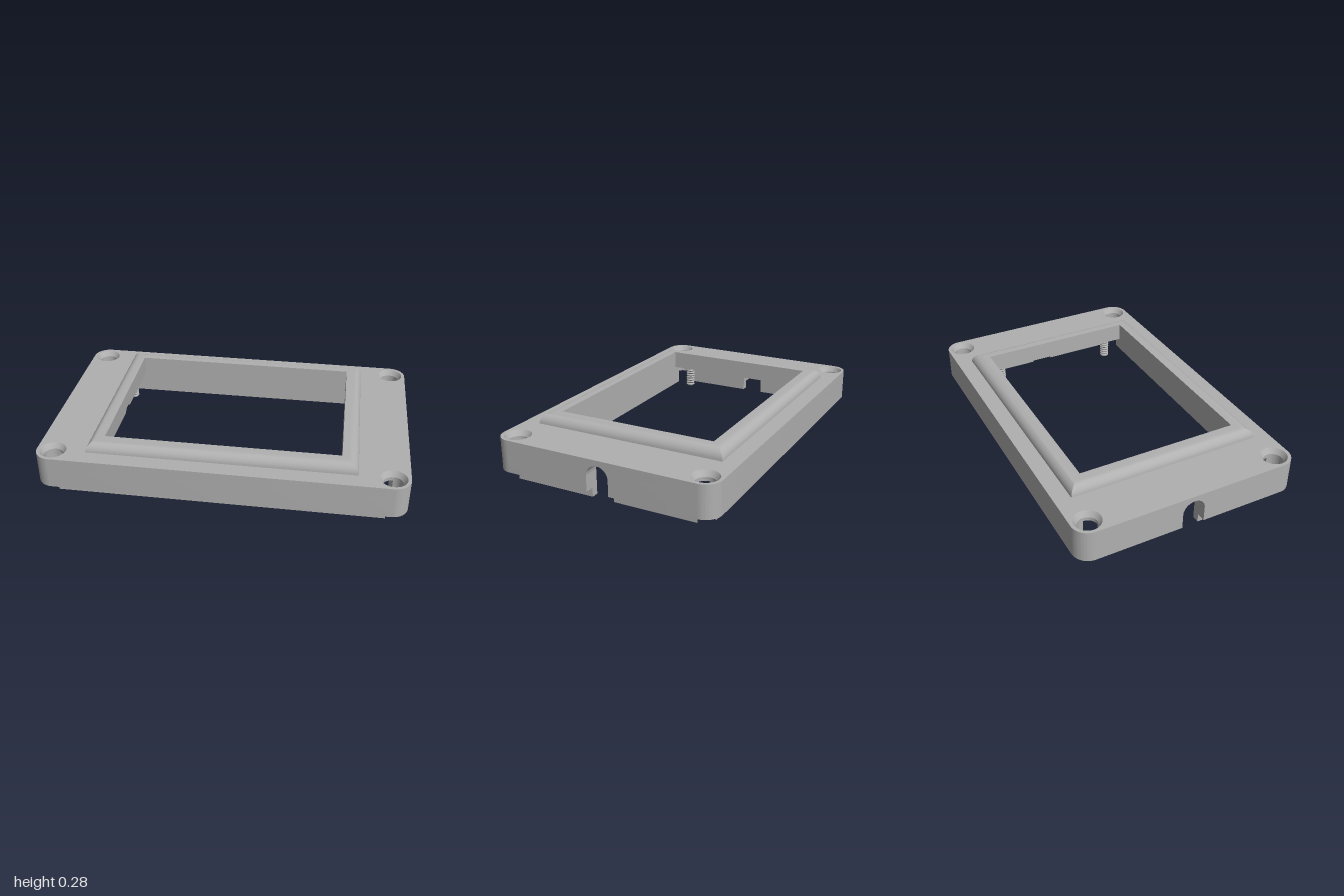
import * as THREE from 'three';
import { toCreasedNormals } from 'three/addons/utils/BufferGeometryUtils.js';

const PI = Math.PI;
const OUT = { x: 1, z: 0.635, r: 0.09 };      // outer footprint
const WIN = { x: 0.64, z: 0.455 };            // window opening
const CAV = { x: 0.91, z: 0.545 };            // cavity, also the screw centres
const LIP = { x: 0.95, z: 0.588 };            // outside of the bottom lip
const HOLE = 0.053, SINK = 0.072;             // screw hole and countersink radii
const SLOT = { r: 0.063, y: 0.137 };          // cable slot
const Y = { lip: 0.05, ceiling: 0.18, cover: 0.2, top: 0.23, bezel: 0.285 };

export function createModel() {
  const group = new THREE.Group();
  const grey = new THREE.MeshStandardMaterial({ color: 0xb0b0b0 });
  grey.name = 'grey plastic';

  const add = (name, geometry, turn = 0) => {
    const mesh = new THREE.Mesh(geometry, grey);
    mesh.name = name;
    mesh.rotation.y = turn;
    group.add(mesh);
    return mesh;
  };
  // the same part on both ends, turned half way round
  const addPair = (name, geometry) => [0, PI].forEach((t) => add(name, geometry, t));

  // plan shape (x, z) raised from y0 to y1
  const slab = (shape, y0, y1) => {
    const g = new THREE.ExtrudeGeometry(shape, { depth: y1 - y0, bevelEnabled: false, curveSegments: 16 });
    g.rotateX(PI / 2).translate(0, y1, 0);
    return toCreasedNormals(g, 0.5);
  };
  const circle = (x, z, r) => new THREE.Path().absarc(x, z, r, 0, PI * 2, true);

  // outer half outline, from the right slot edge round to the left one
  const halfOutline = () => {
    const s = new THREE.Shape();
    const cx = OUT.x - OUT.r, cz = OUT.z - OUT.r;
    s.moveTo(OUT.x, SLOT.r);
    s.lineTo(OUT.x, cz);
    s.absarc(cx, cz, OUT.r, 0, PI / 2, false);
    s.lineTo(-cx, OUT.z);
    s.absarc(-cx, cz, OUT.r, PI / 2, PI, false);
    s.lineTo(-OUT.x, SLOT.r);
    return s;
  };

  // top cover with window and screw openings
  const cover = new THREE.Shape();
  const cx = OUT.x - OUT.r, cz = OUT.z - OUT.r;
  cover.absarc(cx, cz, OUT.r, 0, PI / 2, false);
  cover.absarc(-cx, cz, OUT.r, PI / 2, PI, false);
  cover.absarc(-cx, -cz, OUT.r, PI, PI * 1.5, false);
  cover.absarc(cx, -cz, OUT.r, PI * 1.5, PI * 2, false);
  cover.holes.push(new THREE.Path([[-1, -1], [-1, 1], [1, 1], [1, -1]]
    .map(([a, b]) => new THREE.Vector2(a * WIN.x, b * WIN.z))));
  for (const sx of [-1, 1]) for (const sz of [-1, 1]) {
    cover.holes.push(circle(sx * CAV.x, sz * CAV.z, SINK));
  }
  add('topCover', slab(cover, Y.cover, Y.top));

  // ceiling layer, split by the cable groove
  const ceiling = halfOutline();
  ceiling.lineTo(-WIN.x, SLOT.r);
  ceiling.lineTo(-WIN.x, WIN.z);
  ceiling.lineTo(WIN.x, WIN.z);
  ceiling.lineTo(WIN.x, SLOT.r);
  for (const sx of [-1, 1]) ceiling.holes.push(circle(sx * CAV.x, CAV.z, HOLE));
  addPair('ceiling', slab(ceiling, Y.ceiling, Y.cover));

  // side walls, with the screw holes opening into the cavity corners
  const wall = halfOutline();
  wall.lineTo(-CAV.x, SLOT.r);
  wall.absarc(-CAV.x, CAV.z, HOLE, PI * 1.5, 0, true);
  wall.absarc(CAV.x, CAV.z, HOLE, PI, -PI / 2, true);
  wall.lineTo(CAV.x, SLOT.r);
  addPair('wall', slab(wall, Y.lip, Y.ceiling));

  // bottom lip: long strips, and side strips either side of the slot
  const poly = (pts) => new THREE.Shape(pts.map(([x, z]) => new THREE.Vector2(x, z)));
  addPair('longLip', slab(poly([[-0.858, CAV.z], [0.858, CAV.z], [0.885, LIP.z], [-0.885, LIP.z]]), 0, Y.lip));
  for (const s of [-1, 1]) {
    addPair('sideLip', slab(poly([[CAV.x, s * SLOT.r], [LIP.x, s * SLOT.r],
      [LIP.x, s * 0.524], [CAV.x, s * 0.494]]), 0, Y.lip));
  }

  // arch filling the top of the slot and groove, run along x
  const arch = (yb, x0, x1) => {
    const a = Math.asin((yb - SLOT.y) / SLOT.r), top = Y.cover + 0.003;
    const s = new THREE.Shape();
    s.moveTo(SLOT.r, yb);
    s.lineTo(SLOT.r, top);
    s.lineTo(-SLOT.r, top);
    s.lineTo(-SLOT.r, yb);
    s.absarc(0, SLOT.y, SLOT.r, PI - a, a, true);
    const g = new THREE.ExtrudeGeometry(s, { depth: x1 - x0, bevelEnabled: false, curveSegments: 16 });
    g.rotateY(PI / 2).translate(x0, 0, 0);
    return toCreasedNormals(g, 0.5);
  };
  addPair('slotArch', arch(SLOT.y, CAV.x, OUT.x));
  addPair('cableGroove', arch(Y.ceiling, WIN.x, CAV.x));

  // raised bezel: rounded section swept round the window with mitred corners
  const R = Y.bezel - Y.top, section = [];
  for (let i = 0; i <= 8; i++) {
    const a = (i / 8) * PI / 2;
    section.push([0.09 - R + R * Math.cos(a), Y.top + R * Math.sin(a)]);
  }
  section.push([0, Y.bezel], [0, Y.top]);
  const corners = [[1, 1], [1, -1], [-1, -1], [-1, 1]];
  const pos = [], idx = [];
  for (const [o, y] of section) {
    for (const [sx, sz] of corners) pos.push(sx * (WIN.x + o), y, sz * (WIN.z + o));
  }
  for (let i = 0; i < section.length - 1; i++) {
    for (let k = 0; k < 4; k++) {
      const a = i * 4 + k, b = i * 4 + (k + 1) % 4;
      idx.push(a, b, b + 4, a, b + 4, a + 4);
    }
  }
  const bezel = new THREE.BufferGeometry();
  bezel.setAttribute('position', new THREE.Float32BufferAttribute(pos, 3));
  bezel.setIndex(idx);
  add('bezel', toCreasedNormals(bezel, 0.5));

  // countersinks and ribbed standoffs in each corner
  const sink = new THREE.LatheGeometry(
    [new THREE.Vector2(SINK, Y.top), new THREE.Vector2(HOLE, Y.cover)], 32);
  const ribs = [new THREE.Vector2(0, Y.lip), new THREE.Vector2(0.022, Y.lip)];
  const n = 8, step = (Y.ceiling - Y.lip) / n;
  for (let i = 0; i < n; i++) {
    const y = Y.lip + i * step;
    ribs.push(new THREE.Vector2(0.028, y + step / 2), new THREE.Vector2(0.022, y + step));
  }
  const post = toCreasedNormals(new THREE.LatheGeometry(ribs, 20), 0.5);
  for (const sx of [-1, 1]) for (const sz of [-1, 1]) {
    add('countersink', sink).position.set(sx * CAV.x, 0, sz * CAV.z);
    add('standoff', post).position.set(sx * 0.7, 0, sz * 0.37);
  }
  return group;
}
